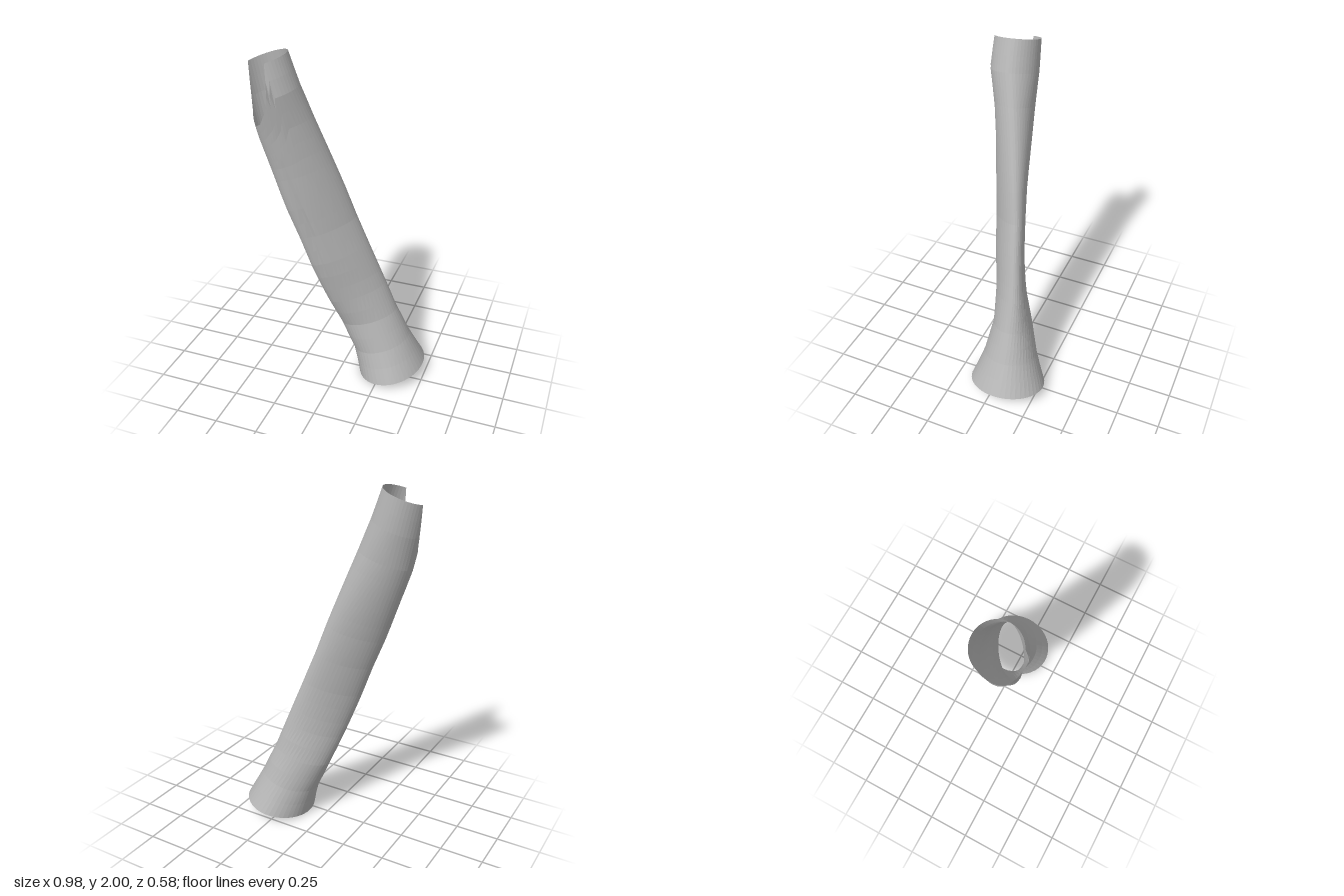
import * as THREE from 'three';

// Cross-sections up the leaning tube:
// height, left x, right x, back z, front z, tilt, skew
const SECTIONS = [
  [0.045, 0.10, 0.49, -0.29, 0.165, 0.2, 0],
  [0.2, 0.07, 0.40, -0.22, 0.11, 0.28, -0.05],
  [0.4, -0.01, 0.305, -0.155, 0.088, 0.3, -0.25],
  [0.6, -0.075, 0.225, -0.105, 0.125, 0.32, -0.6],
  [0.8, -0.14, 0.15, -0.07, 0.167, 0.33, -0.7],
  [1.0, -0.205, 0.075, -0.045, 0.19, 0.33, -0.7],
  [1.2, -0.28, 0.01, -0.02, 0.215, 0.33, -0.6],
  [1.4, -0.35, -0.06, 0, 0.23, 0.33, -0.4],
  [1.6, -0.42, -0.13, 0.02, 0.255, 0.33, -0.2],
  [1.8, -0.465, -0.195, 0.027, 0.295, 0.33, 0],
  [1.96, -0.495, -0.25, 0.035, 0.288, 0.33, 0],
];

// Rim height by angle in degrees, with a V-shaped notch at the front left
const RIM = [
  [0, 1.96], [68, 1.96], [72, 1.88], [80, 1.8], [95, 1.73], [120, 1.67],
  [152, 1.65], [180, 1.74], [200, 1.96], [360, 1.96],
];

// Linear lookup in a table keyed by its first column
function sample(table, key) {
  let i = 0;
  while (i < table.length - 2 && key > table[i + 1][0]) i++;
  const [p, q] = [table[i], table[i + 1]];
  const t = (key - p[0]) / (q[0] - p[0]);
  return p.map((value, k) => value + (q[k] - value) * t);
}

function surfacePoint(degrees, height) {
  const [, left, right, back, front, tilt, skew] = sample(SECTIONS, height);
  const a = THREE.MathUtils.degToRad(degrees);
  // Shallow lengthwise fold along the front
  const foldAngle = 128 - (height - 0.6) * 25;
  const along = Math.max(0, 1 - Math.abs(height - 1.02) / 0.45);
  const fold = 1 - 0.12 * along * Math.exp(-(((degrees - foldAngle) / 9) ** 2));
  const dx = (right - left) / 2 * Math.cos(a) * fold;
  const dz = (front - back) / 2 * Math.sin(a + skew) * fold;
  return [(left + right) / 2 + dx, height + tilt * dx - 0.06 * dz, (front + back) / 2 + dz];
}

export function createModel() {
  const group = new THREE.Group();
  group.name = 'flaredTube';
  const grey = new THREE.MeshStandardMaterial({
    color: 0xb4b4b4, flatShading: true, side: THREE.DoubleSide,
  });
  grey.name = 'grey';

  // Open wall: rows follow the sections, the last ones rise to the notched rim
  const segments = 45, rows = 22, bend = 1.4;
  const positions = [], index = [];
  for (let r = 0; r <= rows; r++) {
    for (let s = 0; s < segments; s++) {
      const degrees = s * 360 / segments;
      const top = sample(RIM, degrees)[1];
      const base = r / rows * (1.96 - 0.045) + 0.045;
      const height = base < bend ? base : bend + (base - bend) / (1.96 - bend) * (top - bend);
      positions.push(...surfacePoint(degrees, height));
      if (r === rows) continue;
      const p = r * segments + s, q = r * segments + (s + 1) % segments;
      index.push(p, p + segments, q, q, p + segments, q + segments);
    }
  }
  const geometry = new THREE.BufferGeometry();
  geometry.setAttribute('position', new THREE.Float32BufferAttribute(positions, 3));
  geometry.setIndex(index);
  geometry.computeVertexNormals();

  const wall = new THREE.Mesh(geometry, grey);
  wall.name = 'tubeWall';
  group.add(wall);
  return group;
}
